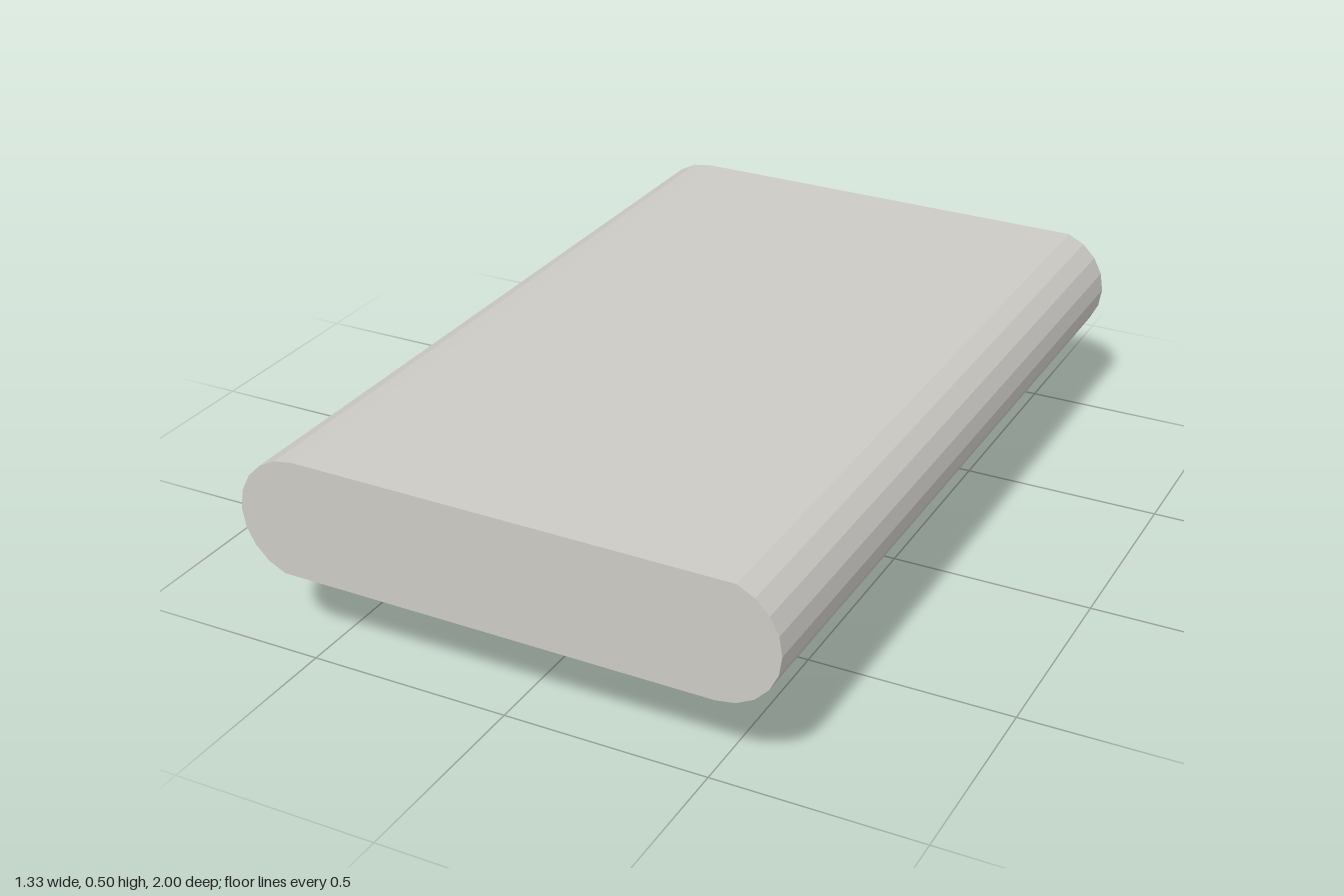
import * as THREE from 'three';

const material = (color) => new THREE.MeshStandardMaterial({ color, flatShading: true });

// Bar with two round ends, each traced in ten steps of 18 degrees, lying along z.
function roundedBar(name, halfWidth, radius, length, y, color) {
  const points = [];
  for (const side of [1, -1]) {
    for (let i = 0; i < 10; i++) {
      const a = -Math.PI / 2 + (i * Math.PI) / 10;
      points.push(new THREE.Vector2(
        side * (halfWidth - radius + radius * Math.cos(a)),
        side * radius * Math.sin(a)
      ));
    }
  }
  const geometry = new THREE.ExtrudeGeometry(new THREE.Shape(points), { depth: length, bevelEnabled: false });
  geometry.translate(0, y, -length / 2);
  const mesh = new THREE.Mesh(geometry, material(color));
  mesh.name = name;
  return mesh;
}

export function createModel() {
  const model = new THREE.Group();
  model.name = 'model';

  // Wide slab resting on a narrower block
  model.add(roundedBar('slab', 0.667, 0.15, 2, 0.35, 0xcccac4));
  model.add(roundedBar('lowerBlock', 0.267, 0.1, 0.916, 0.1, 0xc8c2b6));

  // Short studs under the slab, front and back
  for (const [name, z] of [['frontStud', 0.75], ['backStud', -0.75]]) {
    const stud = new THREE.Mesh(new THREE.CylinderGeometry(0.0667, 0.0667, 0.0667, 12), material(0x85888c));
    stud.name = name;
    stud.position.set(0, 0.134, z);
    model.add(stud);
  }
  return model;
}
